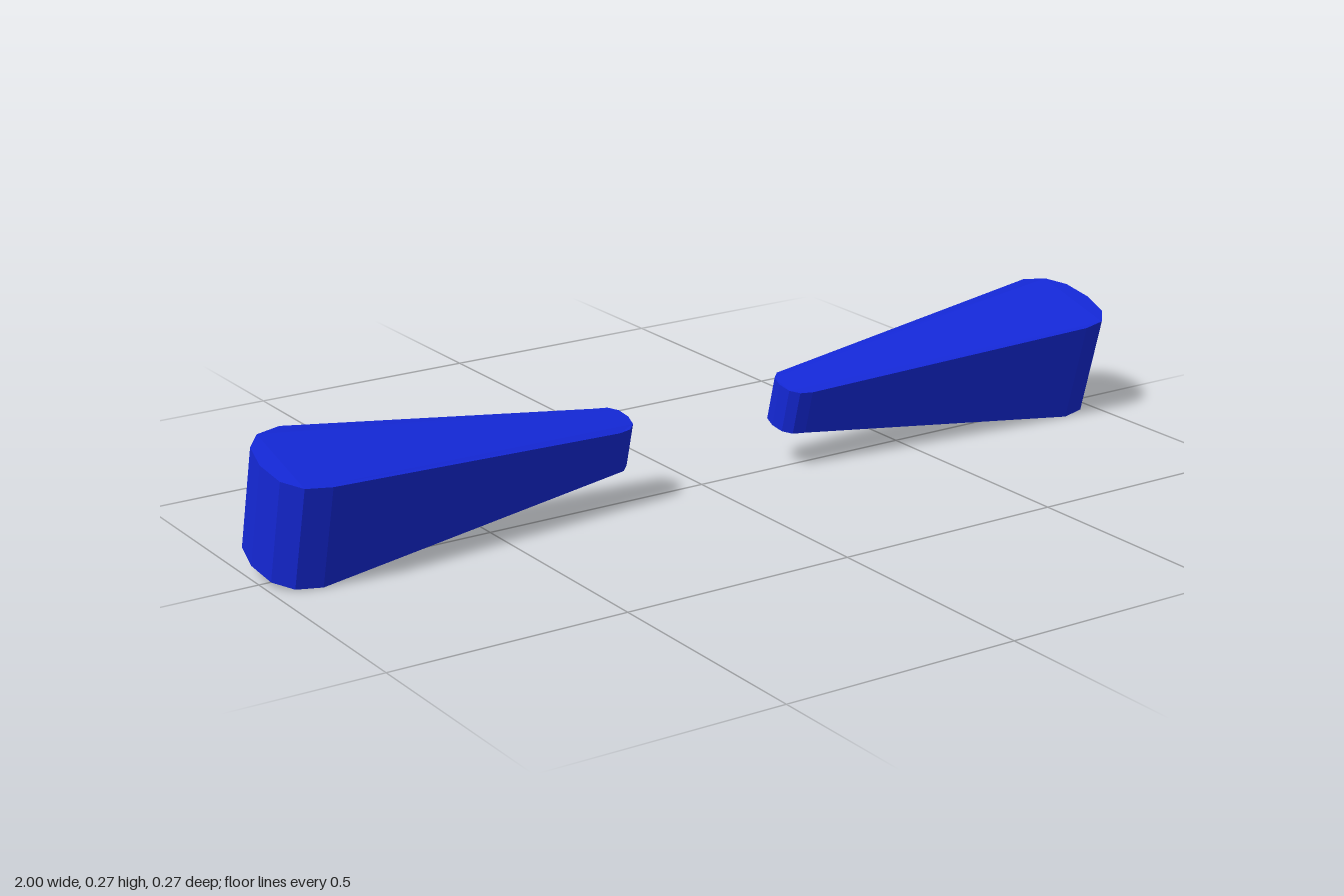
import * as THREE from 'three';

const INNER = { tip: 0.185, shoulder: 0.235, half: 0.049 };
const OUTER = { tip: 1.0, shoulder: 0.905, half: 0.112 };

// Tapered wedge along +x: rounded plan outline, thickness growing outwards
function wedgeGeometry() {
  const outline = new THREE.Shape();
  outline.moveTo(INNER.shoulder, -INNER.half);
  outline.lineTo(OUTER.shoulder, -OUTER.half);
  outline.quadraticCurveTo(OUTER.tip, -OUTER.half, OUTER.tip, 0);
  outline.quadraticCurveTo(OUTER.tip, OUTER.half, OUTER.shoulder, OUTER.half);
  outline.lineTo(INNER.shoulder, INNER.half);
  outline.quadraticCurveTo(INNER.tip, INNER.half, INNER.tip, 0);
  outline.quadraticCurveTo(INNER.tip, -INNER.half, INNER.shoulder, -INNER.half);

  const geometry = new THREE.ExtrudeGeometry(outline, { depth: 2, bevelEnabled: false, curveSegments: 3 });
  geometry.translate(0, 0, -1);
  geometry.rotateX(-Math.PI / 2);

  // Thickness follows the taper between the shoulders and stays level at the ends
  const pos = geometry.attributes.position;
  for (let i = 0; i < pos.count; i++) {
    const t = THREE.MathUtils.clamp(
      (pos.getX(i) - INNER.shoulder) / (OUTER.shoulder - INNER.shoulder), 0, 1);
    pos.setY(i, pos.getY(i) * THREE.MathUtils.lerp(INNER.half, OUTER.half, t));
  }
  geometry.computeVertexNormals();
  return geometry;
}

export function createModel() {
  const model = new THREE.Group();
  model.name = 'wedgePair';
  const material = new THREE.MeshStandardMaterial({ color: 0x1428d8, flatShading: true });
  const geometry = wedgeGeometry();

  // The pair, turned half round for the opposite side
  for (const [name, turn] of [['leftWedge', 0], ['rightWedge', Math.PI]]) {
    const wedge = new THREE.Mesh(geometry, material);
    wedge.name = name;
    wedge.rotation.y = turn;
    model.add(wedge);
  }

  // Both lean forward together
  const tilted = new THREE.Group();
  tilted.name = 'tiltedPair';
  tilted.add(...model.children.slice());
  tilted.rotation.x = THREE.MathUtils.degToRad(15);
  tilted.position.y = 0.138;
  model.add(tilted);
  return model;
}
